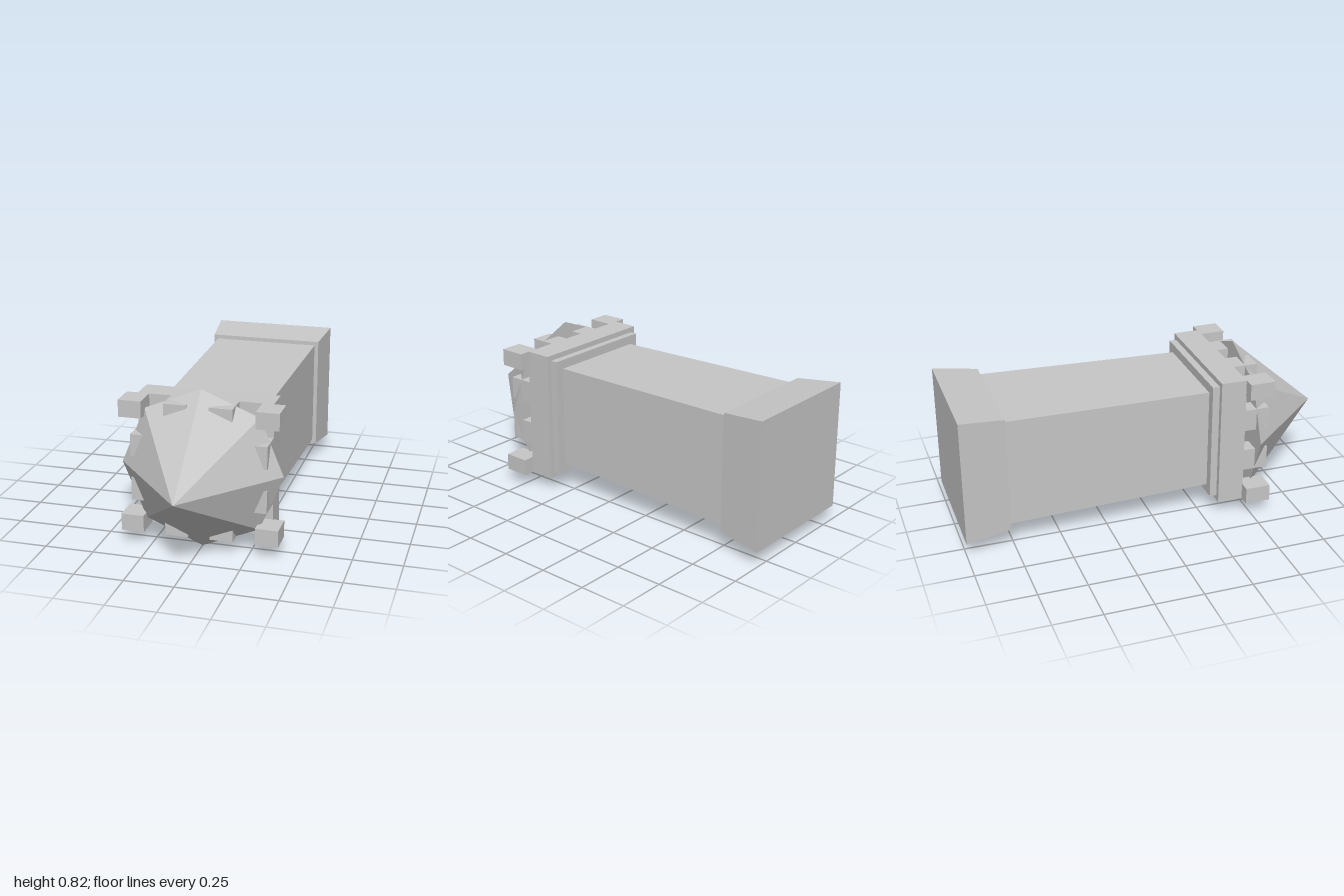
import * as THREE from 'three';

const stone = new THREE.MeshStandardMaterial({ color: 0xc6c6c6 });
stone.name = 'stone grey';

export function createModel() {
  const tower = new THREE.Group();
  tower.name = 'tower';
  tower.position.y = 0.412;

  const add = (name, geometry, x = 0, y = 0, z = 0) => {
    const mesh = new THREE.Mesh(geometry, stone);
    mesh.name = name;
    mesh.position.set(x, y, z);
    tower.add(mesh);
  };

  // Faceted prism lying along z, radius r0 at z0 and r1 at z1
  const prism = (name, sides, r0, r1, z0, z1, turn) => {
    const g = new THREE.CylinderGeometry(r1, r0, z1 - z0, sides, 1, false, turn)
      .rotateX(Math.PI / 2).toNonIndexed();
    g.computeVertexNormals();
    add(name, g, 0, 0, (z0 + z1) / 2);
  };
  // Square section given by half widths
  const square = (name, h0, h1, z0, z1) =>
    prism(name, 4, h0 * Math.SQRT2, h1 * Math.SQRT2, z0, z1, Math.PI / 4);

  square('base', 0.333, 0.308, -1, -0.768);
  square('shaft', 0.286, 0.267, -0.768, 0.3);
  square('collar', 0.315, 0.315, 0.298, 0.336);
  square('parapet', 0.343, 0.343, 0.335, 0.47);

  // Battlements: four corner blocks and two merlons on each side
  const z = 0.534, depth = 0.132;
  for (const sx of [-1, 1]) {
    for (const sy of [-1, 1]) {
      add('cornerBlock', new THREE.BoxGeometry(0.116, 0.087, depth), sx * 0.343, sy * 0.2995, z);
      add('merlon', new THREE.BoxGeometry(0.116, 0.087, depth), sx * 0.114, sy * 0.2995, z);
      add('sideMerlon', new THREE.BoxGeometry(0.087, 0.116, depth), sx * 0.2995, sy * 0.114, z);
    }
  }

  // Eight-sided pointed roof
  prism('roof', 8, 0.41, 0, 0.532, 1, 0);

  return tower;
}
